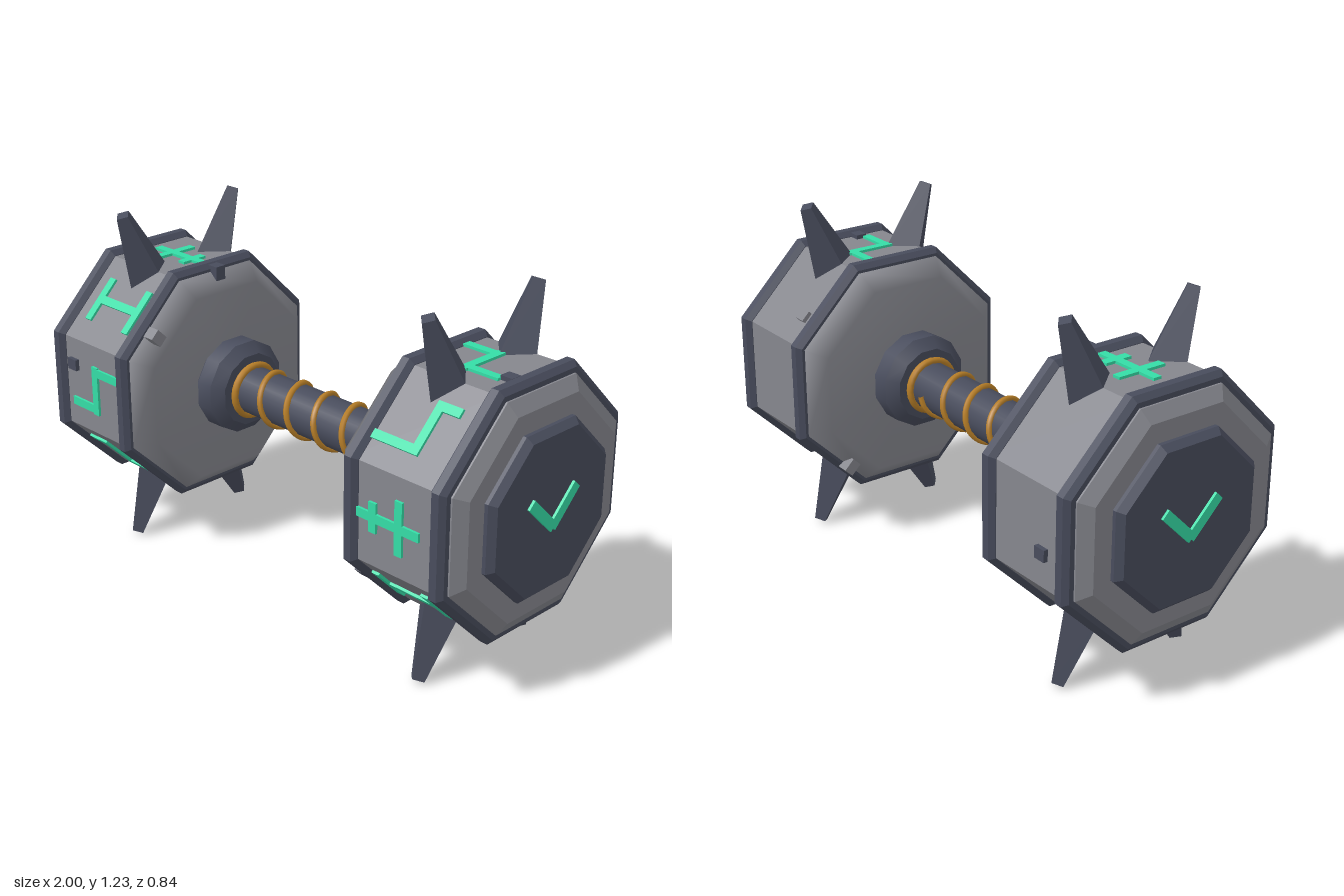
import * as THREE from 'three';
import { toCreasedNormals } from 'three/addons/utils/BufferGeometryUtils.js';

const C = 0.617; // height of the bar's axis
const mat = (name, color) => Object.assign(new THREE.MeshStandardMaterial({ color }), { name });

export function createModel() {
  const stone = mat('stone grey', 0x85868d);
  const iron = mat('dark iron', 0x484c5c);
  const gold = mat('gold wire', 0xb87f28);
  const glow = mat('rune green', 0x35dca6);

  const model = new THREE.Group();
  model.name = 'dumbbell';
  const add = (parent, name, geo, material) => {
    const m = new THREE.Mesh(geo, material);
    m.name = name;
    parent.add(m);
    return m;
  };

  // Turned shape around the x axis; profile is [radius, distance from centre], s is the side
  const turned = (profile, sides, s, crease) => {
    const k = sides === 8 ? 1 / Math.cos(Math.PI / 8) : 1; // octagons are given by their flats
    const pts = profile.map(([r, d]) => new THREE.Vector2(r * k, d));
    let g = new THREE.LatheGeometry(pts, sides, Math.PI / sides);
    if (crease) g = toCreasedNormals(g, crease);
    return g.rotateZ(-s * Math.PI / 2);
  };

  // Box placed on a ring around the axis; angle 0 is up, positive turns to the front
  const onRing = (parent, name, size, x, angle, radius, v, material) => {
    const pivot = new THREE.Group();
    pivot.name = name;
    pivot.rotation.x = angle;
    parent.add(pivot);
    add(pivot, name + 'Block', new THREE.BoxGeometry(...size), material).position.set(x, radius, -v);
  };

  const bar = new THREE.Group();
  bar.name = 'bar';
  bar.position.y = C;
  model.add(bar);

  // Handle with spiral wire
  add(bar, 'handle', new THREE.CylinderGeometry(0.085, 0.085, 0.72, 16).rotateZ(Math.PI / 2), iron);
  const path = [];
  for (let i = 0; i <= 64; i++) {
    const a = (i / 64) * 8 * Math.PI;
    path.push(new THREE.Vector3(-0.262 + 0.524 * i / 64, 0.088 * Math.sin(a), -0.088 * Math.cos(a)));
  }
  add(bar, 'spiralWire', new THREE.TubeGeometry(new THREE.CatmullRomCurve3(path), 160, 0.011, 6), gold);

  // Rune strokes: [outward offset, upward offset, length outward, length upward]
  const w = 0.03;
  const runes = {
    cross: [[0, 0, 0.25, w], [0.045, 0, w, 0.18], [-0.06, 0, w, 0.1]],
    gate: [[-0.1, 0, w, 0.17], [0.1, 0, w, 0.17], [0, 0, 0.2, w]],
    step: [[-0.06, 0.07, 0.13, w], [0, 0, w, 0.18], [0.065, -0.07, 0.13, w]],
    hook: [[0.08, 0.075, 0.09, w], [0.045, 0, w, 0.18], [-0.04, -0.075, 0.17, w]],
  };
  const order = { '-1': ['cross', 'gate', 'step', 'hook'], 1: ['step', 'hook', 'cross', 'gate'] };

  for (const s of [-1, 1]) {
    const head = new THREE.Group();
    head.name = s > 0 ? 'leftHead' : 'rightHead';
    bar.add(head);

    // Octagonal weight, its inner cap, rims and end plate
    add(head, 'weight', turned([[0.4, 0.54], [0.4, 0.9], [0.385, 0.9], [0.385, 0.93],
      [0.34, 0.957], [0, 0.957]], 8, s, 0.1), stone);
    add(head, 'innerCap', turned([[0, 0.455], [0.335, 0.455], [0.392, 0.518], [0.392, 0.55]], 8, s), stone);
    for (const d of [0.548, 0.895]) {
      add(head, 'rim', turned([[0.36, d - 0.029], [0.402, d - 0.029], [0.42, d - 0.014],
        [0.42, d + 0.014], [0.402, d + 0.029], [0.36, d + 0.029]], 8, s, 0.1), iron);
    }
    add(head, 'endPlate', turned([[0.275, 0.95], [0.275, 0.97], [0.255, 0.991], [0, 0.991]], 8, s, 0.1), iron);

    // Collar and gold ring where the handle enters
    add(head, 'collar', turned([[0, 0.335], [0.13, 0.335], [0.168, 0.37], [0.168, 0.435],
      [0.145, 0.46]], 12, s, 0.6), iron);
    add(head, 'collarRing', new THREE.TorusGeometry(0.091, 0.013, 8, 24).rotateY(Math.PI / 2), gold)
      .position.x = s * 0.323;

    // Spikes on the upper and lower corners
    for (const a of [1, -1, 7, -7]) {
      const pivot = new THREE.Group();
      pivot.name = 'spike';
      pivot.rotation.x = a * Math.PI / 8;
      head.add(pivot);
      const g = toCreasedNormals(new THREE.CylinderGeometry(0.028, 0.086, 0.27, 4), 0.1);
      add(pivot, 'spikeBody', g, iron).position.set(s * 0.7, 0.52, 0);
    }

    // Runes on the four panels from the top round to the lower front
    order[s].forEach((key, i) => {
      for (const [u, v, lu, lv] of runes[key]) {
        onRing(head, 'rune', [lu, 0.018, lv], s * (0.7 + u), i * Math.PI / 4, 0.4, v, glow);
      }
    });

    // Chevron on the end plate
    for (const d of [-1, 1]) {
      const arm = add(head, 'chevronArm', new THREE.BoxGeometry(0.012, 0.035, 0.155), glow);
      arm.position.set(s * 0.994, 0.008, d * 0.052);
      arm.rotation.x = -d * Math.PI / 4;
    }
  }

  // Scattered chips: [x, panel number from the top, offset up the panel, material]
  const chips = [
    [-0.475, 1, -0.05, stone], [-0.82, 2, 0.07, iron], [0.495, 3, 0, iron], [0.62, -1, 0.06, stone],
    [0.85, 0, -0.05, iron], [-0.51, 0, 0, iron], [0.5, -3, 0.05, stone], [-0.8, -2, 0.05, iron],
  ];
  for (const [x, p, v, m] of chips) {
    onRing(bar, 'chip', [0.045, 0.05, 0.04], x, p * Math.PI / 4, 0.39, v, m);
  }
  return model;
}
